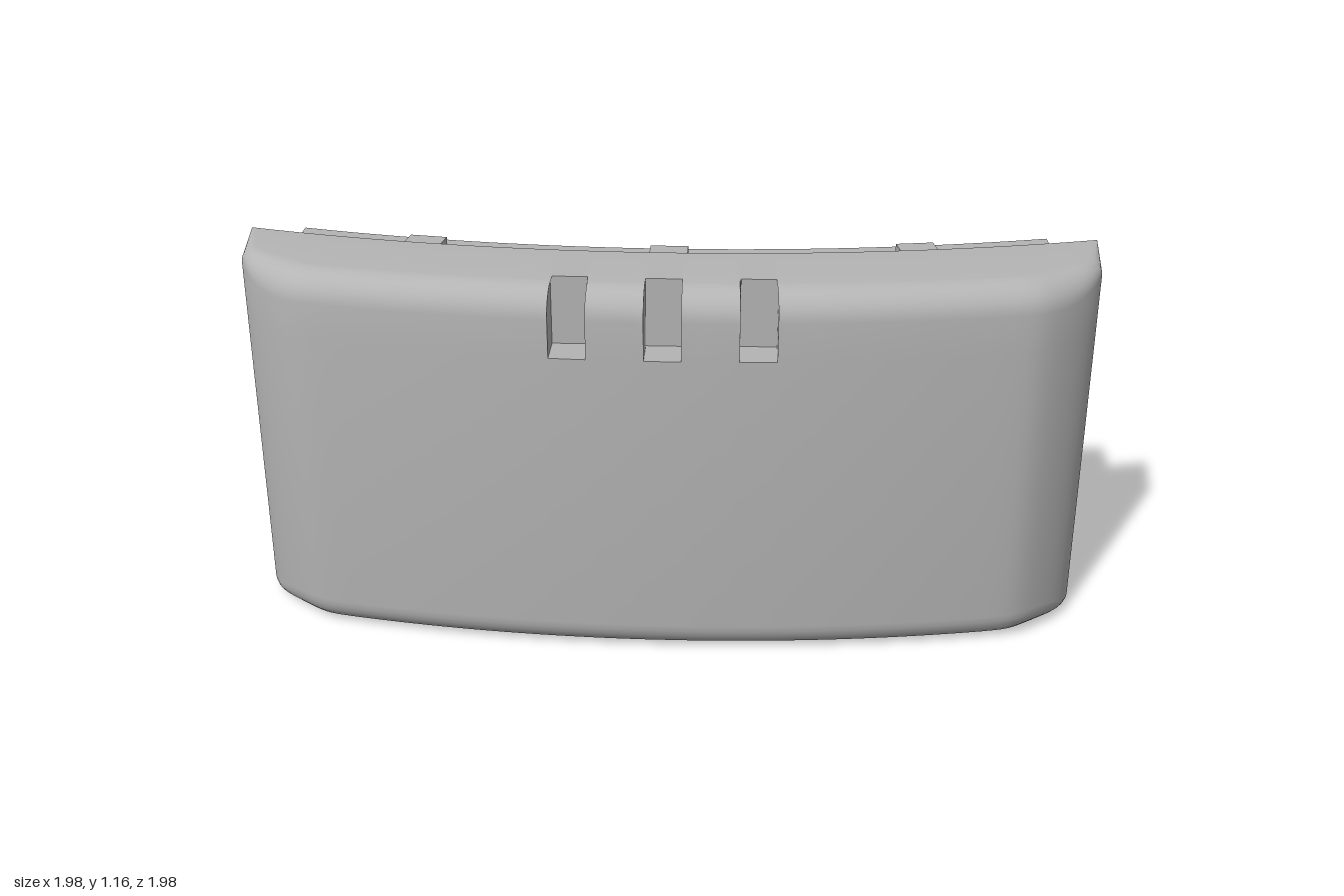
import * as THREE from 'three';
import { toCreasedNormals } from 'three/addons/utils/BufferGeometryUtils.js';

// Local frame: x runs along the curved cover, z points outward, y is up.
const H = 1.16, END = 1.275, CENTRE = -4.763;
const SEAM = 4.84, OUTER = 5.173, INNER = 4.65;
const arc = (radius, u) => CENTRE + Math.sqrt(radius * radius - u * u);

const NOTCHES = [-0.27, 0, 0.27], NOTCH_HALF = 0.053, NOTCH_Y = 0.955, NOTCH_DEPTH = 0.115;

// Plan outline of the outer wall, as stations with position, outward normal and fillet radius
function outlineStations() {
  const tip = new THREE.SplineCurve([
    [0.98, arc(OUTER, 0.98)], [1.06, 0.296], [1.125, 0.258], [1.19, 0.2], [1.235, 0.143], [1.262, 0.088],
  ].map(([x, y]) => new THREE.Vector2(x, y)));
  const right = [];
  for (let i = 1; i <= 16; i++) {
    const t = i / 16, p = tip.getPoint(t), d = tip.getTangent(t);
    right.push({ u: p.x, v: p.y, nu: -d.y, nv: d.x, r: 0.09 - 0.045 * THREE.MathUtils.smoothstep(t, 0.4, 1) });
  }
  for (const t of [0.5, 1]) {
    right.push({ u: 1.262 + (END - 1.262) * t, v: 0.088 + (arc(SEAM, END) - 0.088) * t, nu: 1, nv: 0.07, r: 0.045 * (1 - t) });
  }
  const left = right.map((s) => ({ ...s, u: -s.u, nu: -s.nu })).reverse();

  const middle = [];
  const add = (u, notch) => {
    const v = arc(OUTER, u);
    middle.push({ u, v, nu: u / OUTER, nv: (v - CENTRE) / OUTER, r: 0.09, notch });
  };
  for (let i = 0; i <= 40; i++) {
    const u = -0.98 + (1.96 * i) / 40;
    if (!NOTCHES.some((c) => Math.abs(u - c) <= NOTCH_HALF + 0.005)) add(u);
  }
  // Doubled stations at the notch sides make their upright walls
  for (const c of NOTCHES) {
    const floor = arc(OUTER, c) - NOTCH_DEPTH;
    add(c - NOTCH_HALF);
    add(c - NOTCH_HALF, floor);
    add(c + NOTCH_HALF, floor);
    add(c + NOTCH_HALF);
  }
  middle.forEach((s, i) => { s.order = i; });
  middle.sort((a, b) => a.u - b.u || a.order - b.order);
  return [...left, ...middle, ...right];
}

// Closed cross-section at one station: seam, lower fillet, wall, upper fillet, seam
function section(s) {
  const points = [], steps = 7;
  const put = (inset, y) => {
    let u = s.u - s.nu * inset, v = s.v - s.nv * inset;
    if (s.notch !== undefined && v > s.notch) { v = s.notch; u = s.u; }
    points.push(new THREE.Vector3(u, y, v));
  };
  const backU = THREE.MathUtils.clamp(s.u - s.nu * s.r, -END, END);
  const back = (y) => points.push(new THREE.Vector3(backU, y, arc(SEAM, backU)));
  back(0);
  for (let i = 0; i <= steps; i++) {
    const a = (i / steps) * Math.PI / 2;
    points.push(new THREE.Vector3(
      s.u - s.nu * s.r * (1 - Math.sin(a)), s.r * (1 - Math.cos(a)), s.v - s.nv * s.r * (1 - Math.sin(a))));
  }
  points.push(new THREE.Vector3(s.u, NOTCH_Y, s.v));
  put(0, NOTCH_Y);
  for (let i = 0; i <= steps; i++) {
    const a = (i / steps) * Math.PI / 2;
    put(s.r * (1 - Math.cos(a)), H - s.r * (1 - Math.sin(a)));
  }
  back(H);
  return points;
}

function loft(rings) {
  const pos = [];
  const e1 = new THREE.Vector3(), e2 = new THREE.Vector3();
  const tri = (a, b, c) => {
    if (e1.subVectors(b, a).cross(e2.subVectors(c, a)).length() < 1e-9) return;
    for (const p of [a, b, c]) pos.push(p.x, p.y, p.z);
  };
  for (let i = 0; i < rings.length - 1; i++) {
    const A = rings[i], B = rings[i + 1];
    for (let j = 0; j < A.length; j++) {
      const k = (j + 1) % A.length;
      tri(A[j], B[j], A[k]);
      tri(B[j], B[k], A[k]);
    }
  }
  const g = new THREE.BufferGeometry();
  g.setAttribute('position', new THREE.Float32BufferAttribute(pos, 3));
  return toCreasedNormals(g, 0.4);
}

// Curved slab between the seam and the inner arc
function curvedSlab(half, y0, y1) {
  const shape = new THREE.Shape(), n = 32;
  const at = (radius, i) => {
    const u = -half + (2 * half * i) / n;
    return [u, -arc(radius, u)];
  };
  shape.moveTo(...at(SEAM, 0));
  for (let i = 1; i <= n; i++) shape.lineTo(...at(SEAM, i));
  for (let i = n; i >= 0; i--) shape.lineTo(...at(INNER, i));
  const g = new THREE.ExtrudeGeometry(shape, { depth: y1 - y0, bevelEnabled: false });
  g.rotateX(-Math.PI / 2).translate(0, y0, 0);
  return toCreasedNormals(g, 0.4);
}

export function createModel() {
  const model = new THREE.Group();
  model.name = 'curvedCover';
  const body = new THREE.Group();
  body.name = 'coverBody';
  body.rotation.y = Math.PI / 4;
  model.add(body);

  const grey = new THREE.MeshStandardMaterial({ color: 0xb4b4b4 });
  grey.name = 'light grey';
  const add = (name, geometry) => {
    const mesh = new THREE.Mesh(geometry, grey);
    mesh.name = name;
    body.add(mesh);
    return mesh;
  };

  add('outerShell', loft(outlineStations().map(section)));

  // Stepped tongue on the back
  add('upperTongue', curvedSlab(1.155, 0.53, 1.105));
  add('lowerTongue', curvedSlab(0.96, 0.11, 0.53));

  // Small catches above and below the tongue
  const clip = (name, u, y) => {
    const angle = Math.asin(u / SEAM), radius = SEAM - 0.055;
    const mesh = add(name, new THREE.BoxGeometry(0.113, 0.045, 0.11));
    mesh.position.set(radius * Math.sin(angle), y, CENTRE + radius * Math.cos(angle));
    mesh.rotation.y = angle;
  };
  for (const u of [-0.75, 0, 0.75]) clip('topClip', u, 1.12);
  for (const u of [-0.56, 0.56]) clip('bottomClip', u, 0.095);

  // Catches on both ends of the tongue
  for (const side of [-1, 1]) {
    add('endClip', new THREE.BoxGeometry(0.045, 0.11, 0.12)).position.set(side * 1.165, 0.82, -0.125);
  }
  return model;
}
